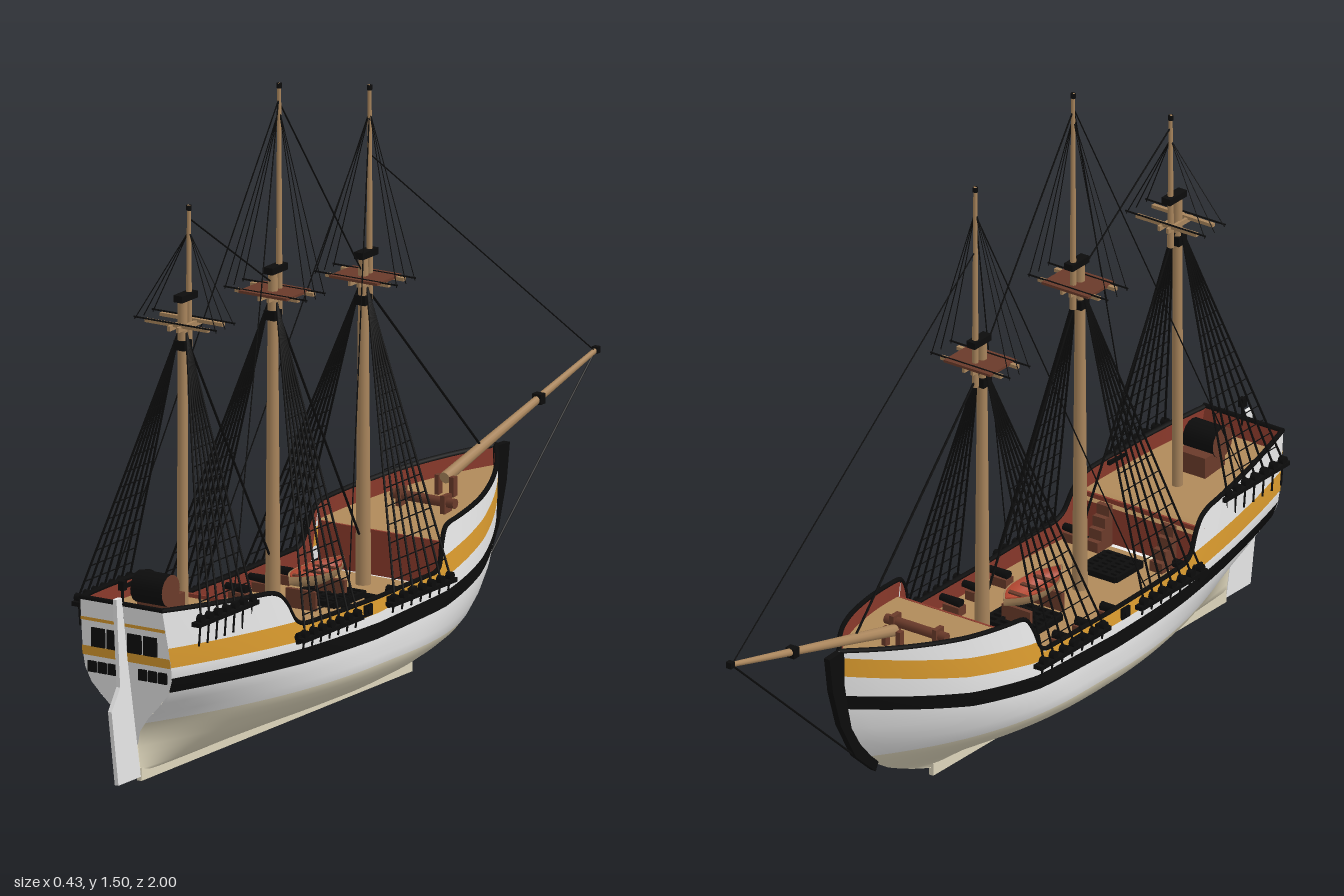
import * as THREE from 'three';
import { mergeGeometries } from 'three/addons/utils/BufferGeometryUtils.js';

const mat = (name, color, side = THREE.DoubleSide) => Object.assign(new THREE.MeshStandardMaterial({ color, side }), { name });
const V = (x, y, z) => new THREE.Vector3(x, y, z);

// piecewise-linear table lookup, keys ascending
function table(t, k) {
  if (k <= t[0][0]) return t[0][1];
  for (let i = 1; i < t.length; i++) if (k <= t[i][0]) {
    const [a, b] = [t[i - 1], t[i]];
    return a[1] + (b[1] - a[1]) * (k - a[0]) / (b[0] - a[0]);
  }
  return t[t.length - 1][1];
}

// hull lines: stem profile, midship and transom half-widths by height; sheer and band heights by z
const BOW = -0.58, STERN = 0.955;
const STEM = [[0.02, -0.23], [0.045, -0.3], [0.08, -0.385], [0.12, -0.45], [0.17, -0.505], [0.24, -0.55], [0.32, -0.57], [0.45, -0.58]];
const MID = [[0.02, 0.006], [0.035, 0.05], [0.06, 0.105], [0.09, 0.152], [0.12, 0.183], [0.145, 0.195], [0.2, 0.2], [0.26, 0.196], [0.32, 0.188], [0.45, 0.172]];
const END = [[0.1, 0.005], [0.14, 0.022], [0.18, 0.062], [0.22, 0.1], [0.25, 0.116], [0.3, 0.119], [0.44, 0.11]];
const RAIL = [[-0.58, 0.45], [-0.3, 0.415], [-0.12, 0.4], [-0.1, 0.388], [-0.085, 0.355], [-0.075, 0.32], [-0.06, 0.303], [0.2, 0.3], [0.5, 0.305], [0.525, 0.32], [0.545, 0.36], [0.57, 0.39], [0.6, 0.4], [0.955, 0.432]];
const YELLOW = [[-0.58, 0.407], [-0.3, 0.34], [-0.1, 0.307], [0.2, 0.288], [0.5, 0.29], [0.955, 0.316]];
const BLACK = [[-0.58, 0.317], [-0.3, 0.259], [-0.1, 0.235], [0.2, 0.226], [0.5, 0.232], [0.955, 0.25]];

const rail = (z) => table(RAIL, z);
const sternZ = (y) => 0.88 + 0.075 * (y - 0.02) / 0.42;

// point on the hull side at station z and height y
function hullPoint(s, y, side = 1, inset = 0) {
  const u = (s - BOW) / (STERN - BOW), zb = table(STEM, y), zs = sternZ(y);
  const z = zb + (zs - zb) * u, up = Math.min(1, Math.max(0, (y - 0.02) / 0.38));
  const entry = Math.max(0, 1 - (z - zb) / 0.56);
  let w = table(MID, y);
  const z0 = 0.15 + 0.2 * up, run = Math.max(0, (z - z0) / (zs - z0));
  w += (table(END, y) - w) * run ** (1.8 + 0.5 * up);
  w *= 1 - entry ** (2 + 0.7 * up);
  return V(side * Math.max(0, w - inset), y, z);
}

// grid of points with an optional material number per row
function grid(rows, cols, fn, rowMat) {
  const pos = [], idx = [], g = new THREE.BufferGeometry();
  for (let r = 0; r <= rows; r++) for (let c = 0; c <= cols; c++) pos.push(...fn(r, c).toArray());
  for (let r = 0; r < rows; r++) {
    if (rowMat) g.addGroup(idx.length, cols * 6, rowMat[r]);
    for (let c = 0; c < cols; c++) {
      const a = r * (cols + 1) + c, b = a + cols + 1;
      idx.push(a, b, a + 1, a + 1, b, b + 1);
    }
  }
  g.setAttribute('position', new THREE.Float32BufferAttribute(pos, 3));
  g.setIndex(idx);
  g.computeVertexNormals();
  return g;
}

// round bar between two points
function rod(a, b, r0, r1 = r0, sides = 5) {
  const d = b.clone().sub(a), g = new THREE.CylinderGeometry(r1, r0, d.length(), sides);
  g.applyQuaternion(new THREE.Quaternion().setFromUnitVectors(V(0, 1, 0), d.normalize()));
  const m = a.clone().add(b).multiplyScalar(0.5);
  return g.translate(m.x, m.y, m.z);
}
const box = (w, h, d, x, y, z) => new THREE.BoxGeometry(w, h, d).translate(x, y, z);

// flat plate drawn in the z-y plane
function plate(pts, thick) {
  const s = new THREE.Shape(pts.map((p) => new THREE.Vector2(...p)));
  return new THREE.ExtrudeGeometry(s, { depth: thick, bevelEnabled: false }).rotateY(-Math.PI / 2).translate(thick / 2, 0, 0);
}

export function createModel() {
  const ship = new THREE.Group();
  const white = mat('hullWhite', 0xe6e6e6), yellow = mat('bandYellow', 0xd99a2e), black = mat('tarBlack', 0x0c0c0c);
  const cream = mat('bottomCream', 0xddd5bb), deckTan = mat('deckTan', 0xb08a5a), red = mat('bulwarkRed', 0x8c3a2c);
  const wood = mat('sparWood', 0xa9855c), brown = mat('fittingBrown', 0x6a3a2a), boatRed = mat('boatRed', 0xb0452f);
  const add = (name, geo, m) => {
    const mesh = new THREE.Mesh(Array.isArray(geo) ? mergeGeometries(geo) : geo, m);
    mesh.name = name;
    ship.add(mesh);
  };

  // hull shell, rail to keel to rail, with painted bands
  const heights = (s) => {
    const top = rail(s), y = table(YELLOW, s), b = table(BLACK, s), lo = b - 0.018;
    return [top, Math.min(y + 0.025, top - 0.004), y - 0.022, b + 0.018, lo, lo + (0.145 - lo) * 0.35, lo + (0.145 - lo) * 0.7,
      0.145, 0.125, 0.105, 0.085, 0.065, 0.045, 0.03, 0.02];
  };
  const half = [0, 1, 0, 2, 0, 0, 0, 3, 3, 3, 3, 3, 3, 3], n = half.length, C = 150;
  const station = (c) => BOW + (STERN - BOW) * c / C;
  add('hull', grid(2 * n, C, (r, c) => {
    const s = station(c);
    return hullPoint(s, heights(s)[r <= n ? r : 2 * n - r], r <= n ? 1 : -1);
  }, [...half, ...[...half].reverse()]), [white, yellow, black, cream]);
  add('keel', box(0.012, 0.03, 1.11, 0, 0.017, 0.325), cream);
  add('stem', plate([[-0.625, 0.447], [-0.612, 0.36], [-0.582, 0.265], [-0.525, 0.165], [-0.45, 0.1], [-0.44, 0.12], [-0.5, 0.19], [-0.548, 0.27], [-0.568, 0.36], [-0.57, 0.45]], 0.016), black);
  add('rudder', plate([[0.98, 0.448], [0.958, 0.448], [0.935, 0.3], [0.88, 0.012], [0.972, 0.012], [1.0, 0.19], [0.982, 0.215], [0.965, 0.24]], 0.01), white);

  // transom with painted bands and windows
  const strip = (lo, hi, off, k = 1) => grid(10, 2, (r, c) => {
    const y = lo + (hi - lo) * r / 10;
    return V((c - 1) * table(END, y) * k, y, sternZ(y) + off);
  });
  add('transom', strip(0.09, 0.432, 0), white);
  add('transomBands', [strip(0.292, 0.315, 0.002), strip(0.378, 0.386, 0.002)], yellow);
  const panes = [];
  for (const s of [-1, 1]) {
    for (const x of [0.028, 0.07]) panes.push(box(0.036, 0.045, 0.005, s * x, 0.34, sternZ(0.34) + 0.004));
    for (const x of [0.041, 0.068, 0.095]) panes.push(box(0.022, 0.026, 0.005, s * x, 0.266, sternZ(0.266) + 0.003));
  }
  add('sternWindows', panes, black);

  // decks, inner bulwarks, bulkheads
  const deckY = (s) => (s > 0.565 || s < -0.115 ? rail(s) - 0.045 : 0.25);
  const spans = [[BOW, -0.116], [-0.114, 0.564], [0.566, STERN - 0.002]];
  spans.forEach(([a, b], i) => {
    const at = (c) => a + (b - a) * c / 60;
    add(['foredeck', 'waistDeck', 'quarterdeck'][i], grid(1, 60, (r, c) => hullPoint(at(c), deckY(at(c)), r ? 1 : -1, 0.004)), deckTan);
    add('innerBulwark', [1, -1].map((s) => grid(1, 60, (r, c) =>
      hullPoint(at(c), r ? rail(at(c)) : deckY(at(c)), s, 0.006))), red);
  });
  add('bulkheads', [box(0.35, 0.11, 0.006, 0, 0.302, 0.566), box(0.345, 0.105, 0.006, 0, 0.302, -0.116)], red);
  add('innerTransom', strip(0.38, 0.43, -0.006, 0.95), red);

  // rail capping
  const cap = [1, -1].map((s) => {
    const pts = Array.from({ length: 76 }, (_, i) => hullPoint(station(i * 2), rail(station(i * 2)), s, 0.003));
    return new THREE.TubeGeometry(new THREE.CatmullRomCurve3(pts), 150, 0.006, 5);
  });
  add('railCap', [...cap, rod(V(-0.112, 0.433, 0.952), V(0.112, 0.433, 0.952), 0.006)], black);
  add('sternLantern', [rod(V(0, 0.38, 0.948), V(0, 0.485, 0.948), 0.004), box(0.014, 0.022, 0.014, 0, 0.474, 0.948)], black);

  // masts, tops, shrouds and ratlines
  const masts = [
    { name: 'foremast', z: -0.037, foot: 0.25, cap: 1.02, top: 1.41, heel: 0.91, plat: 0.965, from: -0.1, to: 0.165, x: 0.205, base: 0.29 },
    { name: 'mainmast', z: 0.333, foot: 0.25, cap: 1.07, top: 1.5, heel: 0.96, plat: 1.015, from: 0.28, to: 0.53, x: 0.205, base: 0.29 },
    { name: 'mizzenmast', z: 0.702, foot: 0.35, cap: 1.09, top: 1.3, heel: 0.97, plat: 1.03, from: 0.65, to: 0.895, x: 0.165, base: 0.405 },
  ];
  for (const m of masts) {
    const zt = m.z - 0.026, mizzen = m.name === 'mizzenmast';
    add(m.name, [rod(V(0, m.foot, m.z), V(0, m.cap, m.z), mizzen ? 0.013 : 0.018, 0.011, 12),
      rod(V(0, m.heel, zt), V(0, m.top, zt), 0.008, 0.0045, 8)], wood);
    const trim = [box(0.024, 0.016, 0.064, 0, m.cap, m.z - 0.012), box(0.03, 0.022, 0.03, 0, m.plat - 0.05, m.z)];
    for (const dz of [-0.045, 0.03]) trim.push(rod(V(-0.112, m.plat + 0.006, m.z + dz), V(0.112, m.plat + 0.006, m.z + dz), 0.0022));
    trim.push(rod(V(0, m.top - 0.012, zt), V(0, m.top, zt), 0.0065));
    add('mastCapAndCrosstrees', trim, black);
    const tree = [-0.012, 0.012].map((x) => box(0.007, 0.012, 0.095, x, m.plat - 0.006, m.z - 0.008));
    for (const dz of [-0.04, 0.022]) tree.push(box(0.17, 0.008, 0.01, 0, m.plat, m.z + dz));
    add('trestletrees', tree, wood);
    if (!mizzen) add('topPlatform', box(0.13, 0.006, 0.1, 0, m.plat + 0.003, m.z - 0.008), brown);

    const ropes = [], fittings = [];
    for (const s of [-1, 1]) {
      const apex = V(s * 0.01, m.plat - 0.02, m.z), N = 7;
      const foot = (t) => V(s * m.x, m.base, m.from + (m.to - m.from) * t);
      for (let i = 0; i < N; i++) {
        const f = foot((i + 0.5) / N);
        ropes.push(rod(f, apex, 0.0028));
        fittings.push(rod(V(f.x - s * 0.007, f.y, f.z), V(f.x + s * 0.007, f.y, f.z), 0.01, 0.01, 8));
        fittings.push(rod(f, V(s * (mizzen ? 0.16 : 0.2), m.base - (mizzen ? 0.065 : 0.035), f.z), 0.0025));
      }
      for (let k = 1; k <= 14; k++) {
        const t = k / 17;
        ropes.push(rod(foot(0.5 / N).lerp(apex, t), foot(1 - 0.5 / N).lerp(apex, t), 0.0016, 0.0016, 4));
      }
      // topmast shrouds
      for (const dz of [-0.045, -0.008, 0.03]) ropes.push(rod(V(s * 0.11, m.plat, m.z + dz), V(0, m.top - 0.06, zt), 0.0013, 0.0013, 4));
      fittings.push(box(0.022, 0.01, m.to - m.from, s * (m.x - 0.003), m.base - 0.012, (m.from + m.to) / 2));
    }
    add('shroudsAndRatlines', ropes, black);
    add('channelsAndDeadeyes', fittings, black);
  }

  // bowsprit
  add('bowsprit', rod(V(0, 0.42, -0.37), V(0, 0.578, -0.995), 0.014, 0.006, 10), wood);
  add('bowspritCaps', [box(0.024, 0.024, 0.02, 0, 0.517, -0.755), box(0.015, 0.015, 0.014, 0, 0.577, -0.99)], black);

  // stays and backstays
  const stay = (y0, z0, y1, z1, r, x = 0) => rod(V(0, y0, z0), V(x, y1, z1), r);
  const stays = [stay(1.25, -0.062, 0.578, -0.98, 0.0016), stay(0.94, -0.05, 0.46, -0.52, 0.003), stay(1.46, 0.31, 0.97, -0.04, 0.002),
    stay(0.98, 0.32, 0.37, -0.02, 0.003), stay(1.0, 0.69, 0.36, 0.32, 0.003), stay(1.27, 0.677, 1.04, 0.335, 0.002), stay(0.57, -0.98, 0.165, -0.52, 0.0025)];
  for (const s of [-1, 1]) stays.push(stay(1.46, 0.31, 0.42, 0.735, 0.0016, s * 0.16), stay(1.34, -0.062, 0.31, 0.32, 0.0016, s * 0.195));
  add('stays', stays, black);

  // ship's boat on its chocks
  const boat = (k) => grid(8, 16, (r, c) => {
    const a = Math.PI * r / 8, t = c / 8 - 1, w = 0.042 * k * (1 - Math.abs(t) ** 2.4);
    return V(w * Math.cos(a), 0.33 + 0.006 * t * t - 0.035 * k * Math.sin(a) * (1 - 0.5 * t * t), 0.155 + 0.112 * k * t);
  });
  add('boatHull', boat(1), wood);
  add('boatInside', boat(0.93), boatRed);
  add('boatThwarts', [-0.05, 0, 0.05].map((d) => box(0.064, 0.004, 0.012, 0, 0.322, 0.155 + d)), brown);
  add('boatChocks', [-0.06, 0.06].map((d) => box(0.08, 0.045, 0.01, 0, 0.272, 0.155 + d)), brown);

  // hatch gratings
  const bars = [];
  for (const [z, w, d] of [[0.115, 0.13, 0.12], [0.45, 0.1, 0.1]]) {
    for (let i = 0; i <= 6; i++) bars.push(box(w, 0.014, 0.009, 0, 0.258, z + d * (i / 6 - 0.5)));
    for (let i = 0; i <= 4; i++) bars.push(box(0.008, 0.014, d, w * (i / 4 - 0.5), 0.258, z));
  }
  add('hatchGratings', bars, black);

  // guns on carriages
  const barrels = [], carriages = [];
  for (const s of [-1, 1]) for (const z of [0.06, 0.145, 0.24, 0.515]) {
    barrels.push(rod(V(s * 0.13, 0.28, z), V(s * 0.203, 0.282, z), 0.011, 0.008, 8));
    barrels.push(box(0.006, 0.026, 0.03, s * 0.196, 0.282, z));
    carriages.push(box(0.045, 0.022, 0.028, s * 0.15, 0.262, z));
  }
  add('gunBarrels', barrels, black);
  add('gunCarriages', carriages, brown);

  // deck fittings
  add('windlass', [rod(V(-0.085, 0.392, -0.285), V(0.085, 0.392, -0.285), 0.012, 0.012, 8), box(0.012, 0.05, 0.03, 0.06, 0.385, -0.285), box(0.012, 0.05, 0.03, -0.06, 0.385, -0.285)], brown);
  add('bowspritBitts', [-0.02, 0.02].map((x) => box(0.012, 0.06, 0.016, x, 0.395, -0.375)), brown);
  add('ladders', [-1, 1].flatMap((s) => [0, 1, 2, 3].map((i) => box(0.035, 0.025 * (i + 1), 0.014, s * 0.09, 0.25 + 0.0125 * (i + 1), 0.505 + i * 0.014))), brown);
  add('companionHood', new THREE.CylinderGeometry(0.037, 0.037, 0.085, 16).rotateZ(Math.PI / 2).translate(0, 0.437, 0.815), [black, brown, brown]);
  add('companionBase', box(0.08, 0.05, 0.075, 0, 0.395, 0.79), brown);
  return ship;
}
